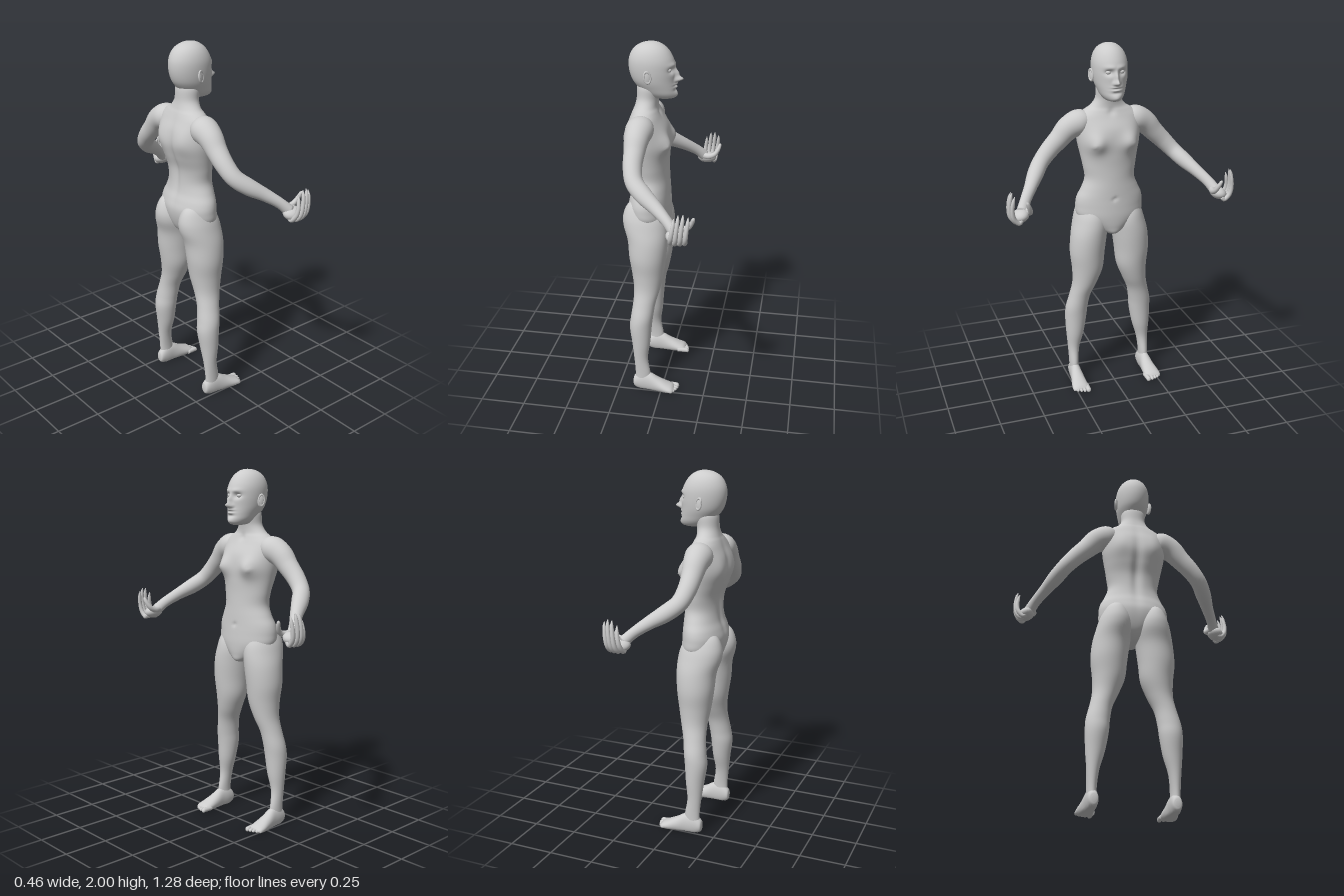
import * as THREE from 'three';

const skin = new THREE.MeshStandardMaterial({ color: 0xcccccc });
skin.name = 'plain grey';

const X = new THREE.Vector3(1, 0, 0), Y = new THREE.Vector3(0, 1, 0), Z = new THREE.Vector3(0, 0, 1);
const DOWN_Z = new THREE.Vector3(0, 0, -1);

// Smooth skin through elliptical stations [x, y, z, radiusU, radiusV].
// Without a fixed frame the rings turn with the path, radiusU lying along ref.
function loft(stations, { frame, ref = X, seg = 28, sub = 5, bump } = {}) {
  const path = new THREE.CatmullRomCurve3(stations.map(s => new THREE.Vector3(s[0], s[1], s[2])), false, 'catmullrom', 0.5);
  const size = new THREE.CatmullRomCurve3(stations.map(s => new THREE.Vector3(s[3], s[4], 0)), false, 'catmullrom', 0.5);
  const rows = (stations.length - 1) * sub, pos = [], idx = [];
  for (let r = 0; r <= rows; r++) {
    const c = path.getPoint(r / rows), d = size.getPoint(r / rows);
    let U, V;
    if (frame) [U, V] = frame;
    else {
      const T = path.getTangent(r / rows);
      V = new THREE.Vector3().crossVectors(T, ref).normalize();
      U = new THREE.Vector3().crossVectors(V, T);
    }
    for (let s = 0; s < seg; s++) {
      const t = s / seg * Math.PI * 2;
      const p = c.clone().addScaledVector(U, Math.max(d.x, 0.001) * Math.cos(t))
        .addScaledVector(V, Math.max(d.y, 0.001) * Math.sin(t));
      if (bump) bump(p, c);
      pos.push(p.x, p.y, p.z);
      const n = (s + 1) % seg, a = r * seg;
      if (r < rows) idx.push(a + s, a + n, a + seg + n, a + s, a + seg + n, a + seg + s);
    }
  }
  // end caps
  const first = path.getPoint(0), last = path.getPoint(1), k = pos.length / 3, top = rows * seg;
  pos.push(first.x, first.y, first.z, last.x, last.y, last.z);
  for (let s = 0; s < seg; s++) {
    const n = (s + 1) % seg;
    idx.push(k, n, s, k + 1, top + s, top + n);
  }
  const g = new THREE.BufferGeometry();
  g.setAttribute('position', new THREE.Float32BufferAttribute(pos, 3));
  g.setIndex(idx);
  g.computeVertexNormals();
  return g;
}

// Upright loft from rows [y, back, front, zMin, zMax]
const upright = (rows, opts) => loft(rows.map(([y, b, f, z0, z1]) =>
  [(b + f) / 2, y, (z0 + z1) / 2, (f - b) / 2, (z1 - z0) / 2]), { frame: [X, DOWN_Z], ...opts });
const symmetric = rows => rows.map(([y, b, f, w]) => [y, b, f, -w, w]);

const bell = (p, y, z, sy, sz) => Math.exp(-(((p.y - y) / sy) ** 2) - ((Math.abs(p.z) - z) / sz) ** 2);

function ball(x, y, z, sx, sy, sz) {
  return new THREE.SphereGeometry(1, 24, 16).scale(sx, sy, sz).translate(x, y, z);
}

function mirrorZ(g) {
  const m = g.clone().scale(1, 1, -1), i = m.index.array;
  for (let k = 0; k < i.length; k += 3) [i[k + 1], i[k + 2]] = [i[k + 2], i[k + 1]];
  m.computeVertexNormals();
  return m;
}

export function createModel() {
  const body = new THREE.Group();
  body.name = 'standing figure';
  const add = (name, g) => {
    const m = new THREE.Mesh(g, skin);
    m.name = name;
    body.add(m);
  };
  const pair = (name, g) => { add(name + 'A', g); add(name + 'B', mirrorZ(g)); };

  // Torso and neck, with chest, spine groove and navel
  add('torso', upright(symmetric([
    [0.925, -0.1, -0.07, 0.006], [0.94, -0.14, 0, 0.04], [0.98, -0.18, 0.015, 0.11],
    [1.04, -0.205, 0.02, 0.185], [1.1, -0.215, 0.018, 0.195], [1.15, -0.205, 0.015, 0.188],
    [1.2, -0.19, 0.013, 0.164], [1.26, -0.185, 0.01, 0.143], [1.33, -0.19, 0.008, 0.152],
    [1.4, -0.213, 0.01, 0.165], [1.47, -0.23, 0.012, 0.178], [1.54, -0.222, 0, 0.183],
    [1.6, -0.2, -0.03, 0.18], [1.635, -0.187, -0.045, 0.14], [1.66, -0.177, -0.052, 0.1],
    [1.7, -0.168, -0.048, 0.072], [1.76, -0.165, -0.035, 0.068], [1.8, -0.15, -0.05, 0.05]]), {
    seg: 80, sub: 6, bump(p, c) {
      if (p.x > c.x) {
        p.x += 0.035 * bell(p, 1.47, 0.1, 0.055, 0.05) + 0.008 * bell(p, 1.46, 0.115, 0.012, 0.012)
          - 0.008 * bell(p, 1.15, 0, 0.012, 0.012) - 0.008 * bell(p, 1.63, 0, 0.02, 0.02);
      } else {
        p.x += 0.016 * bell(p, 1.36, 0, 0.2, 0.025) - 0.012 * bell(p, 1.5, 0.1, 0.07, 0.05);
      }
    },
  }));

  // Head with modelled face
  add('head', upright(symmetric([
    [1.7, -0.06, 0.015, 0.02], [1.709, -0.1, 0.038, 0.044], [1.73, -0.13, 0.046, 0.062],
    [1.76, -0.16, 0.044, 0.075], [1.8, -0.19, 0.04, 0.088], [1.85, -0.206, 0.04, 0.095],
    [1.9, -0.208, 0.034, 0.095], [1.94, -0.196, 0.016, 0.085], [1.97, -0.174, -0.008, 0.067],
    [1.99, -0.14, -0.038, 0.042], [1.998, -0.108, -0.064, 0.02], [2, -0.087, -0.085, 0.001]]), {
    seg: 120, sub: 9, bump(p, c) {
      if (p.x < c.x + 0.03) return;
      p.x += 0.036 * bell(p, 1.807, 0, 0.014, 0.012) + 0.02 * bell(p, 1.835, 0, 0.026, 0.01)
        + 0.01 * bell(p, 1.802, 0.014, 0.009, 0.008) + 0.006 * bell(p, 1.885, 0.03, 0.012, 0.03)
        - 0.017 * bell(p, 1.858, 0.036, 0.015, 0.02) + 0.01 * bell(p, 1.782, 0, 0.006, 0.022)
        + 0.009 * bell(p, 1.766, 0, 0.006, 0.02) - 0.006 * bell(p, 1.774, 0, 0.004, 0.025)
        - 0.006 * bell(p, 1.75, 0, 0.008, 0.025) + 0.008 * bell(p, 1.722, 0, 0.016, 0.025);
    },
  }));
  pair('eye', ball(0.01, 1.859, 0.036, 0.014, 0.012, 0.016));
  pair('ear', ball(0, 0, 0, 0.02, 0.034, 0.008).rotateY(0.35).rotateZ(0.15).translate(-0.092, 1.83, 0.097));
  pair('earRim', new THREE.TorusGeometry(0.021, 0.005, 8, 24).scale(0.85, 1.4, 1)
    .rotateY(0.35).rotateZ(0.15).translate(-0.092, 1.832, 0.101));

  // Legs from ankle to buttock
  pair('leg', upright([
    [0.03, -0.155, -0.07, 0.19, 0.245], [0.1, -0.152, -0.065, 0.194, 0.246], [0.2, -0.16, -0.08, 0.183, 0.25],
    [0.3, -0.172, -0.068, 0.155, 0.258], [0.4, -0.185, -0.06, 0.137, 0.262], [0.47, -0.178, -0.052, 0.13, 0.258],
    [0.55, -0.168, -0.04, 0.115, 0.238], [0.63, -0.167, -0.018, 0.08, 0.222], [0.72, -0.18, 0, 0.045, 0.223],
    [0.82, -0.195, 0.012, 0.033, 0.233], [0.92, -0.205, 0.019, 0.02, 0.226], [1, -0.23, 0.016, 0.008, 0.208],
    [1.06, -0.231, 0, 0.018, 0.19], [1.12, -0.205, -0.04, 0.05, 0.16], [1.15, -0.15, -0.09, 0.09, 0.12]], { seg: 40 }));

  // Feet with flat soles, then five toes each
  const flat = p => { p.y = Math.max(p.y, 0); };
  pair('foot', loft([
    [-0.166, 0.04, 0.217, 0.012, 0.01], [-0.158, 0.04, 0.217, 0.036, 0.025], [-0.12, 0.045, 0.218, 0.06, 0.031],
    [-0.07, 0.042, 0.22, 0.062, 0.033], [-0.02, 0.03, 0.222, 0.045, 0.04], [0.03, 0.02, 0.225, 0.03, 0.047],
    [0.06, 0.016, 0.226, 0.02, 0.046], [0.075, 0.014, 0.226, 0.008, 0.035]], { frame: [Y, Z], bump: flat }));
  [[0.188, 0.1, 0.014], [0.211, 0.098, 0.01], [0.23, 0.092, 0.009], [0.248, 0.083, 0.009], [0.264, 0.07, 0.009]]
    .forEach(([z, tip, r], i) => pair('toe' + (i + 1), loft([
      [0.03, 0.015, z - 0.002, r, r], [tip - 0.02, 0.014, z, r, r], [tip - 0.006, 0.012, z, r * 0.85, r * 0.85],
      [tip, 0.011, z, 0.002, 0.002]], { frame: [Y, Z], seg: 14, bump: flat })));

  // Arms from shoulder through the bent elbow to the wrist
  pair('arm', loft([
    [-0.12, 1.575, 0.11, 0.06, 0.05], [-0.122, 1.57, 0.16, 0.075, 0.072], [-0.126, 1.54, 0.222, 0.066, 0.066],
    [-0.128, 1.485, 0.275, 0.056, 0.056], [-0.126, 1.425, 0.335, 0.05, 0.05], [-0.106, 1.366, 0.39, 0.047, 0.045],
    [-0.05, 1.318, 0.435, 0.046, 0.043], [0.02, 1.273, 0.48, 0.036, 0.034], [0.085, 1.225, 0.525, 0.028, 0.03],
    [0.13, 1.18, 0.555, 0.03, 0.032]], { seg: 36, sub: 6, ref: new THREE.Vector3(1, 0.3, -0.3) }));

  // Cupped hands: palm, four upward curled fingers and thumb
  pair('palm', ball(0, 0, 0, 0.056, 0.034, 0.046).rotateX(0.35).translate(0.142, 1.168, 0.566));
  const finger = (name, pts, r) => pair(name, loft(
    pts.map((p, i) => [...p, r * [1, 1.05, 1, 0.9, 0.75, 0.15][i], r * [1, 1.05, 1, 0.9, 0.75, 0.15][i]]),
    { seg: 14, ref: X }));
  for (let i = 0; i < 4; i++) {
    const x = 0.112 + 0.024 * i, h = [-0.025, 0, 0.003, -0.012][i], o = [-0.008, 0, -0.002, -0.01][i];
    finger('finger' + (i + 1), [
      [x, 1.155, 0.57], [x + 0.002, 1.141, 0.597 + o], [x + 0.008, 1.17, 0.623 + o],
      [x + 0.014, 1.22 + h / 2, 0.631 + o], [x + 0.02, 1.275 + h, 0.626 + o], [x + 0.022, 1.306 + h, 0.618 + o]], 0.0125);
  }
  pair('thumb', loft([
    [0.115, 1.19, 0.54, 0.018, 0.018], [0.155, 1.186, 0.526, 0.018, 0.018], [0.192, 1.2, 0.525, 0.014, 0.014],
    [0.213, 1.23, 0.535, 0.012, 0.012], [0.222, 1.255, 0.545, 0.009, 0.009], [0.225, 1.264, 0.55, 0.002, 0.002]],
    { seg: 14, ref: Z }));

  return body;
}
